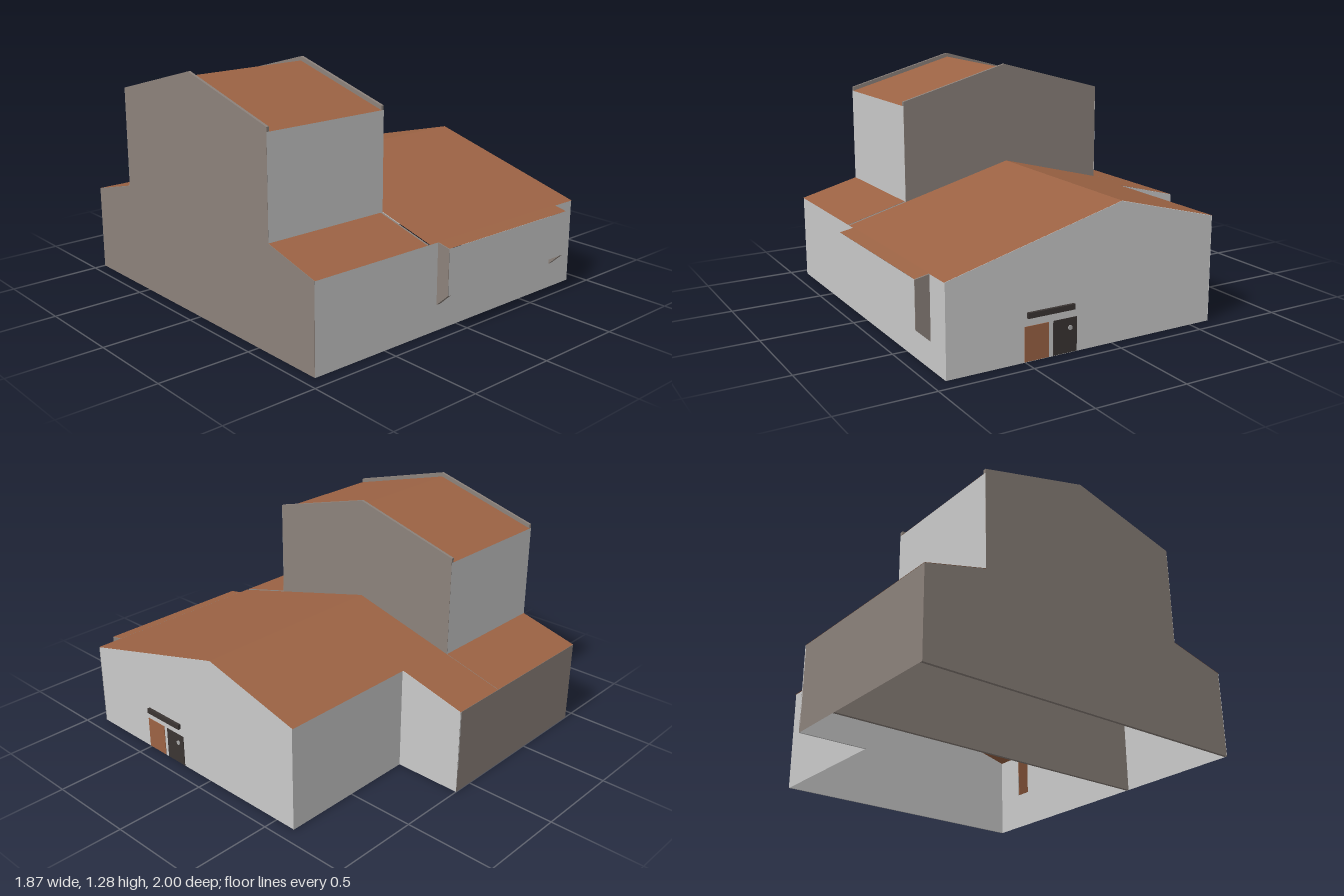
import * as THREE from 'three';

const D = THREE.DoubleSide;
const mat = (name, color, extra = {}) => {
  const m = new THREE.MeshStandardMaterial({ color, ...extra });
  m.name = name;
  return m;
};

export function createModel() {
  const house = new THREE.Group();
  house.name = 'house';
  const plaster = mat('light grey plaster', 0xcacaca, { side: D });
  const taupe = mat('taupe cladding', 0x8c827b, { side: D });
  const roof = mat('brown roof', 0x9c6344, { side: D });
  const dark = mat('dark trim', 0x3b3533);
  const metal = mat('door knob metal', 0xa8a8a8);

  const add = (name, geo, material) => {
    const m = new THREE.Mesh(geo, material);
    m.name = name;
    house.add(m);
    return m;
  };
  // Slab with a [z, y] outline, extruded along x from x0 to x1
  const slabX = (name, outline, x0, x1, material) => {
    const s = new THREE.Shape(outline.map(([z, y]) => new THREE.Vector2(-z, y)));
    const g = new THREE.ExtrudeGeometry(s, { depth: x1 - x0, bevelEnabled: false });
    return add(name, g.rotateY(Math.PI / 2).translate(x0, 0, 0), material);
  };
  // Thin upright wall facing front or back
  const wallZ = (name, x0, x1, y0, y1, z, material, hole) => {
    const rect = (C, a, b, c, d) => new C([[a, c], [b, c], [b, d], [a, d]].map(p => new THREE.Vector2(...p)));
    const s = rect(THREE.Shape, x0, x1, y0, y1);
    if (hole) s.holes.push(rect(THREE.Path, ...hole));
    const g = new THREE.ShapeGeometry(s);
    if (z < 0) g.rotateY(Math.PI).translate(x0 + x1, 0, 0);
    return add(name, g.translate(0, 0, z), material);
  };
  // Sloping sheet between two [z, y] points; the first is nearer the front
  const sheet = (name, x0, x1, [za, ya], [zb, yb], material) => {
    const g = new THREE.BufferGeometry();
    g.setAttribute('position', new THREE.Float32BufferAttribute(
      [x0, ya, za, x1, ya, za, x1, yb, zb, x0, yb, zb], 3));
    g.setIndex([0, 1, 2, 0, 2, 3]);
    g.computeVertexNormals();
    return add(name, g, material);
  };
  const box = (name, x0, x1, y0, y1, z0, z1, material) =>
    add(name, new THREE.BoxGeometry(x1 - x0, y1 - y0, z1 - z0)
      .translate((x0 + x1) / 2, (y0 + y1) / 2, (z0 + z1) / 2), material);

  // Lower roof height at any depth
  const RIDGE = -0.045, ridgeY = 0.722;
  const roofY = z => ridgeY - 0.262 * Math.abs(z - RIDGE);
  const at = z => [z, roofY(z)];

  // Tall gable walls, rising past the tower roof as parapets
  const gable = [[0.92, 0], at(0.92), at(0.59), [0.59, 1.11], [-0.035, 1.28],
    [-0.66, 1.11], at(-0.66), at(-1), [-1, 0]];
  slabX('leftGableWall', gable, -0.935, -0.92, taupe);
  slabX('innerGableWall', gable, -0.224, -0.208, taupe);

  // Lower walls
  wallZ('frontWall', -0.935, 0.92, 0, roofY(0.92), 0.922, plaster, [-0.12, 0.745, 0.21, 0.455]);
  wallZ('backWallLeft', -0.935, 0.115, 0, roofY(-1), -1, taupe);
  wallZ('backWallRight', 0.115, 0.92, 0, roofY(-0.62), -0.62, plaster);
  slabX('rightGableWall', [[0.92, 0], at(0.92), at(RIDGE), at(-0.62), [-0.62, 0]], 0.91, 0.918, plaster);
  slabX('backReturnWall', [[-0.62, 0], at(-0.62), at(-1), [-1, 0]], 0.107, 0.115, plaster);

  // Lower roofs
  const lift = z => [z, roofY(z) + 0.002];
  sheet('frontRoof', -0.205, 0.92, lift(0.925), lift(RIDGE), roof);
  sheet('backRoof', -0.205, 0.92, lift(RIDGE), lift(-0.625), roof);
  sheet('backRoofExtension', -0.205, 0.115, lift(-0.625), lift(-1), roof);
  sheet('leftFrontRoof', -0.935, -0.222, lift(0.925), lift(0.59), roof);
  sheet('leftBackRoof', -0.935, -0.208, lift(-0.66), lift(-1), roof);

  // Tower walls and roof between the parapets
  wallZ('towerFrontWall', -0.935, -0.208, roofY(0.59), 1.087, 0.591, plaster);
  wallZ('towerBackWall', -0.935, -0.208, roofY(-0.66), 1.087, -0.661, plaster);
  sheet('towerFrontRoof', -0.92, -0.224, [0.592, 1.087], [-0.035, 1.257], roof);
  sheet('towerBackRoof', -0.92, -0.224, [-0.035, 1.257], [-0.662, 1.087], roof);

  // Projecting front bay with tapered side brackets
  const side = [[0.923, 0.14], [0.998, 0.21], [0.998, 0.453], [0.923, 0.468]];
  slabX('bayBracketRight', side, -0.147, -0.12, taupe);
  slabX('bayBracketLeft', side, 0.743, 0.77, taupe);
  wallZ('bayFrontWall', -0.147, 0.77, 0.21, 0.456, 1, plaster);
  sheet('bayFloor', -0.12, 0.743, [0.998, 0.21], [0.922, 0.21], plaster);
  sheet('bayRoof', -0.147, 0.77, [1, 0.457], [0.922, 0.472], roof);
  const reveal = [[0.924, 0.215], [0.996, 0.215], [0.996, 0.45], [0.924, 0.45]];
  slabX('bayRevealRight', reveal, -0.12, -0.117, roof);
  slabX('bayRevealLeft', reveal, 0.74, 0.743, roof);

  // Entrance on the gable side
  box('sidePanel', 0.916, 0.921, 0.003, 0.18, 0.37, 0.505, roof);
  box('door', 0.916, 0.921, 0.003, 0.18, 0.21, 0.345, dark);
  box('doorCanopy', 0.916, 0.934, 0.222, 0.25, 0.228, 0.492, dark);
  add('doorKnob', new THREE.CylinderGeometry(0.012, 0.012, 0.006, 12)
    .rotateZ(Math.PI / 2).translate(0.923, 0.13, 0.25), metal);

  return house;
}
